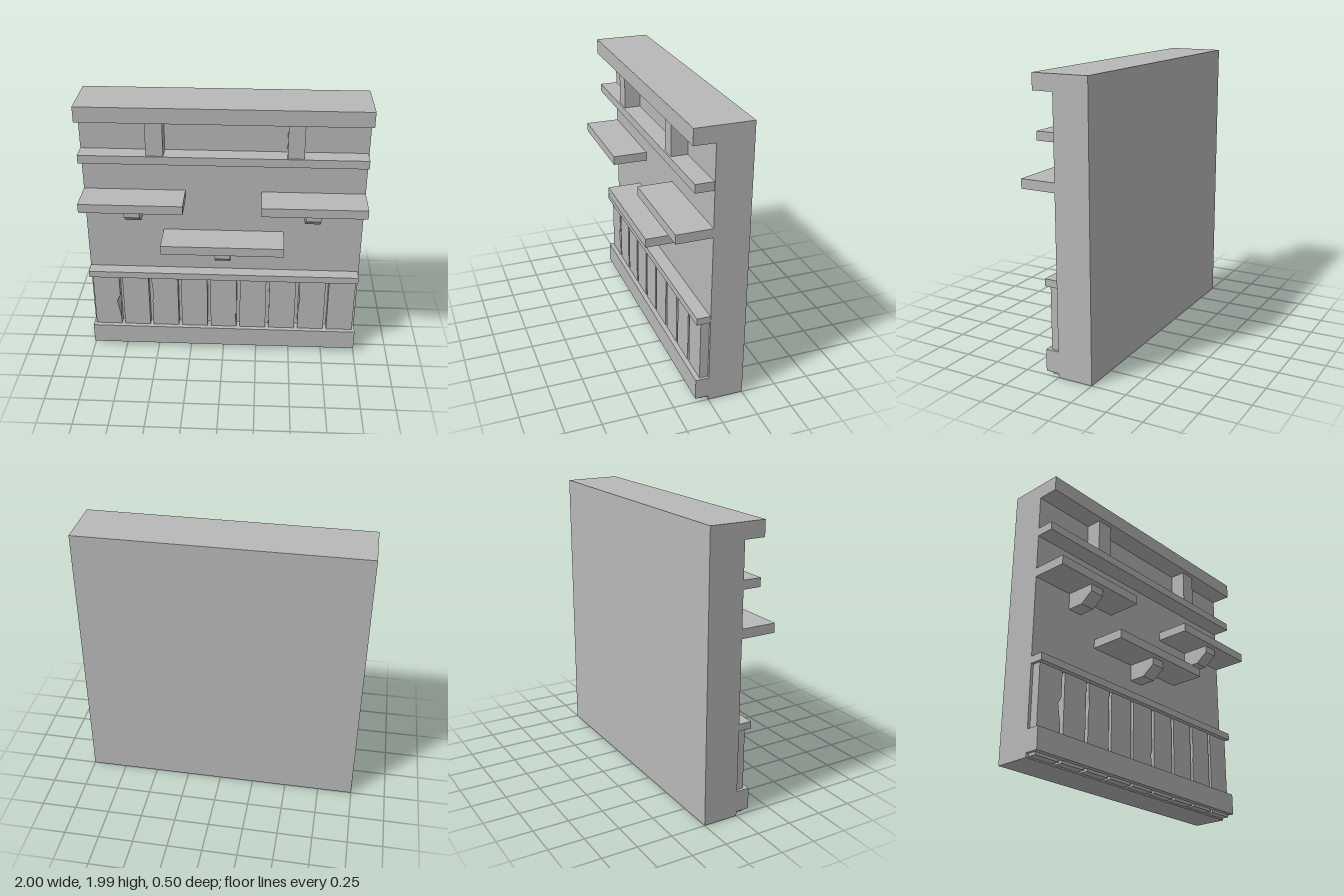
import * as THREE from 'three';

export function createModel() {
  const group = new THREE.Group();
  const grey = new THREE.MeshStandardMaterial({ color: 0xb8b8b8 });

  const add = (name, geometry) => {
    const mesh = new THREE.Mesh(geometry, grey);
    mesh.name = name;
    group.add(mesh);
    return mesh;
  };
  // Box given by its limits
  const block = (name, x0, x1, y0, y1, z0, z1) => {
    add(name, new THREE.BoxGeometry(x1 - x0, y1 - y0, z1 - z0))
      .position.set((x0 + x1) / 2, (y0 + y1) / 2, (z0 + z1) / 2);
  };

  // Wall and full-width mouldings
  block('wall', -1, 1, 0, 1.99, -0.25, 0);
  block('topBeam', -1, 1, 1.88, 1.99, 0, 0.147);
  block('upperRail', -1, 0.993, 1.57, 1.63, 0, 0.127);
  block('chairRail', -1, 0.993, 0.62, 0.67, 0, 0.094);
  block('baseboard', -1, 1, 0.03, 0.182, 0, 0.094);

  // Short posts between the top beam and the upper rail
  block('post', -0.53, -0.41, 1.63, 1.88, 0, 0.115);
  block('post', 0.438, 0.552, 1.63, 1.88, 0, 0.115);

  // Shelves, each on a bracket with a sloped underside
  const shelf = (x0, x1, top, b0, b1) => {
    const under = top - 0.065;
    block('shelf', x0, x1, under, top, 0, 0.25);
    const profile = new THREE.Shape([
      [0, 0], [0, -0.12], [-0.12, -0.12], [-0.21, -0.052], [-0.21, 0],
    ].map(([a, b]) => new THREE.Vector2(a, b)));
    const geometry = new THREE.ExtrudeGeometry(profile, { depth: b1 - b0, bevelEnabled: false });
    geometry.rotateY(Math.PI / 2);
    add('shelfBracket', geometry).position.set(b0, under, 0);
  };
  shelf(-1, -0.273, 1.316, -0.69, -0.58);
  shelf(0.268, 1, 1.316, 0.577, 0.685);
  shelf(-0.438, 0.434, 0.995, -0.058, 0.054);

  // Wainscot planks; chips are [side, low, middle, high, depth]
  const chips = {
    0: [1, 0.24, 0.39, 0.44, 0.026],
    2: [-1, 0.4, 0.47, 0.54, 0.01],
    4: [1, 0.19, 0.28, 0.31, 0.01],
    7: [-1, 0.36, 0.45, 0.55, 0.01],
  };
  const half = 0.098;
  for (let i = 0; i < 9; i++) {
    const [side, low, middle, high, depth] = chips[i] || [1, 0.2, 0.3, 0.4, 0];
    const outline = [[-side * half, 0.01], [side * half, 0.01]];
    if (depth) outline.push([side * half, low], [side * (half - depth), middle], [side * half, high]);
    outline.push([side * half, 0.62], [-side * half, 0.62]);
    const shape = new THREE.Shape(outline.map(([a, b]) => new THREE.Vector2(a, b)));
    const geometry = new THREE.ExtrudeGeometry(shape, { depth: 0.06, bevelEnabled: false });
    // The chip slopes out to the full edge at the back
    const p = geometry.attributes.position;
    for (let v = 0; v < p.count; v++) {
      if (depth && p.getZ(v) < 0.001 && Math.abs(p.getY(v) - middle) < 0.001) p.setX(v, side * half);
    }
    const flat = geometry.index ? geometry.toNonIndexed() : geometry;
    flat.computeVertexNormals();
    add('plank', flat).position.x = (i - 4) * 0.2205;
  }

  return group;
}
